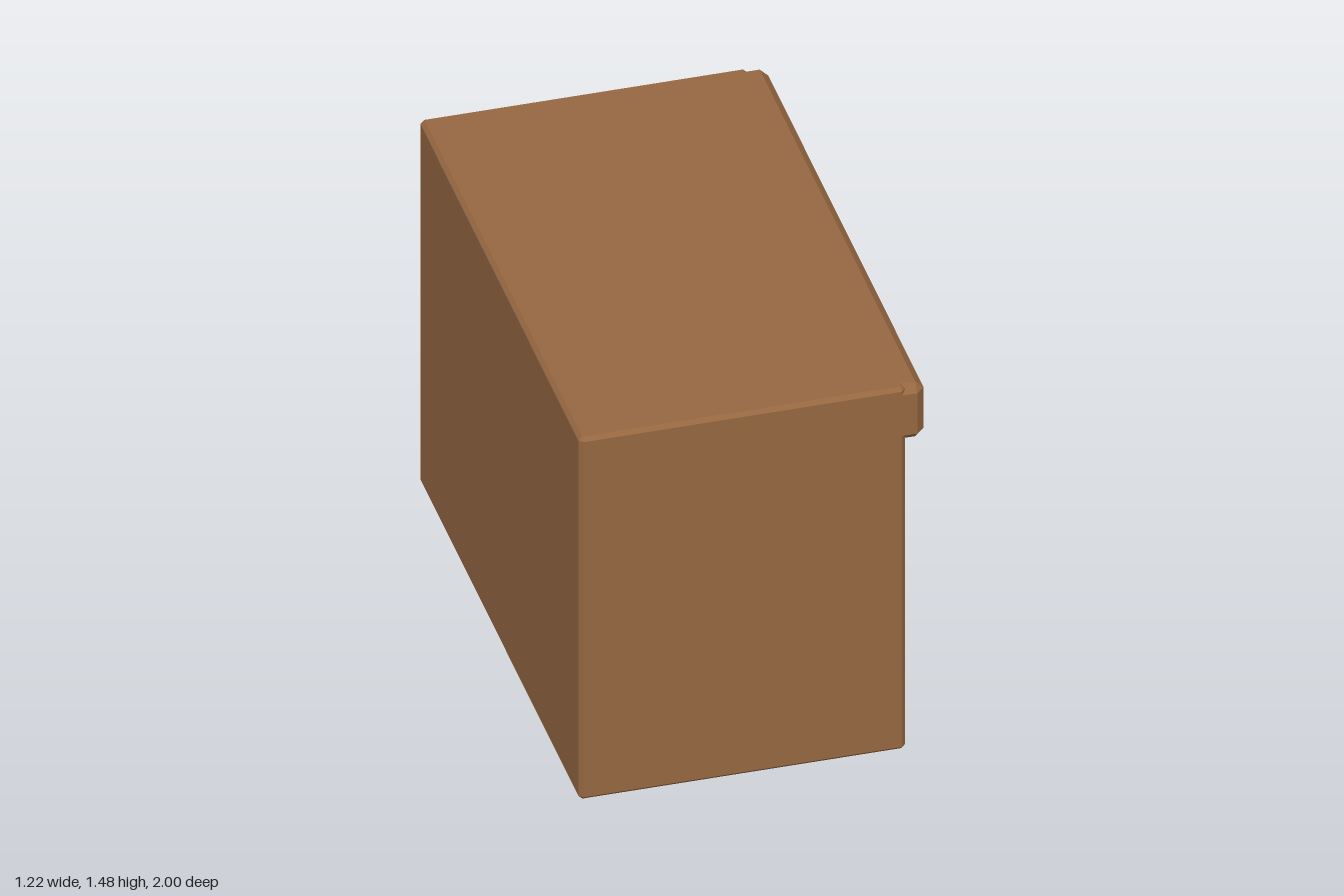
import * as THREE from 'three';
import { ConvexGeometry } from 'three/addons/geometries/ConvexGeometry.js';

// Box from min to max with chamfered edges; squareBack keeps the edges around the -x face sharp.
function chamferBox(min, max, c, squareBack = false) {
  const points = [];
  for (const sx of [-1, 1]) for (const sy of [-1, 1]) for (const sz of [-1, 1]) {
    const signs = [sx, sy, sz];
    const corner = signs.map((s, i) => (s < 0 ? min[i] : max[i]));
    // Each corner becomes one point per face, inset along the other two axes
    for (let face = 0; face < 3; face++) {
      const p = corner.map((v, i) => (i === face ? v : v - signs[i] * c));
      if (squareBack && sx < 0) {
        if (face === 0) continue;
        p[0] = min[0];
      }
      points.push(new THREE.Vector3(...p));
    }
  }
  return new ConvexGeometry(points);
}

export function createModel() {
  const group = new THREE.Group();
  group.name = 'chest';
  const wood = new THREE.MeshStandardMaterial({ color: 0x966741 });
  wood.name = 'brown wood';
  const dark = new THREE.MeshStandardMaterial({ color: 0x4e3536 });
  dark.name = 'dark leather';

  const add = (name, geometry, material) => {
    const mesh = new THREE.Mesh(geometry, material);
    mesh.name = name;
    group.add(mesh);
  };

  // Main box
  add('body', chamferBox([-0.608, 0, -1], [0.538, 1.48, 1], 0.014), wood);

  // Overhanging lip along the upper +x edge
  add('lidLip', chamferBox([0.524, 1.255, -1], [0.608, 1.48, 1], 0.03, true), wood);

  // Latch plate in the middle of the +x side
  add('latch', chamferBox([0.525, 0.777, -0.11], [0.603, 1.125, 0.11], 0.016), dark);

  // Two upright straps tucked under the lip
  for (const side of [-1, 1]) {
    const z = side * 0.66;
    const name = side > 0 ? 'leftStrap' : 'rightStrap';
    add(name, chamferBox([0.556, 0.11, z - 0.049], [0.605, 1.288, z + 0.049], 0.008), dark);
  }
  return group;
}
